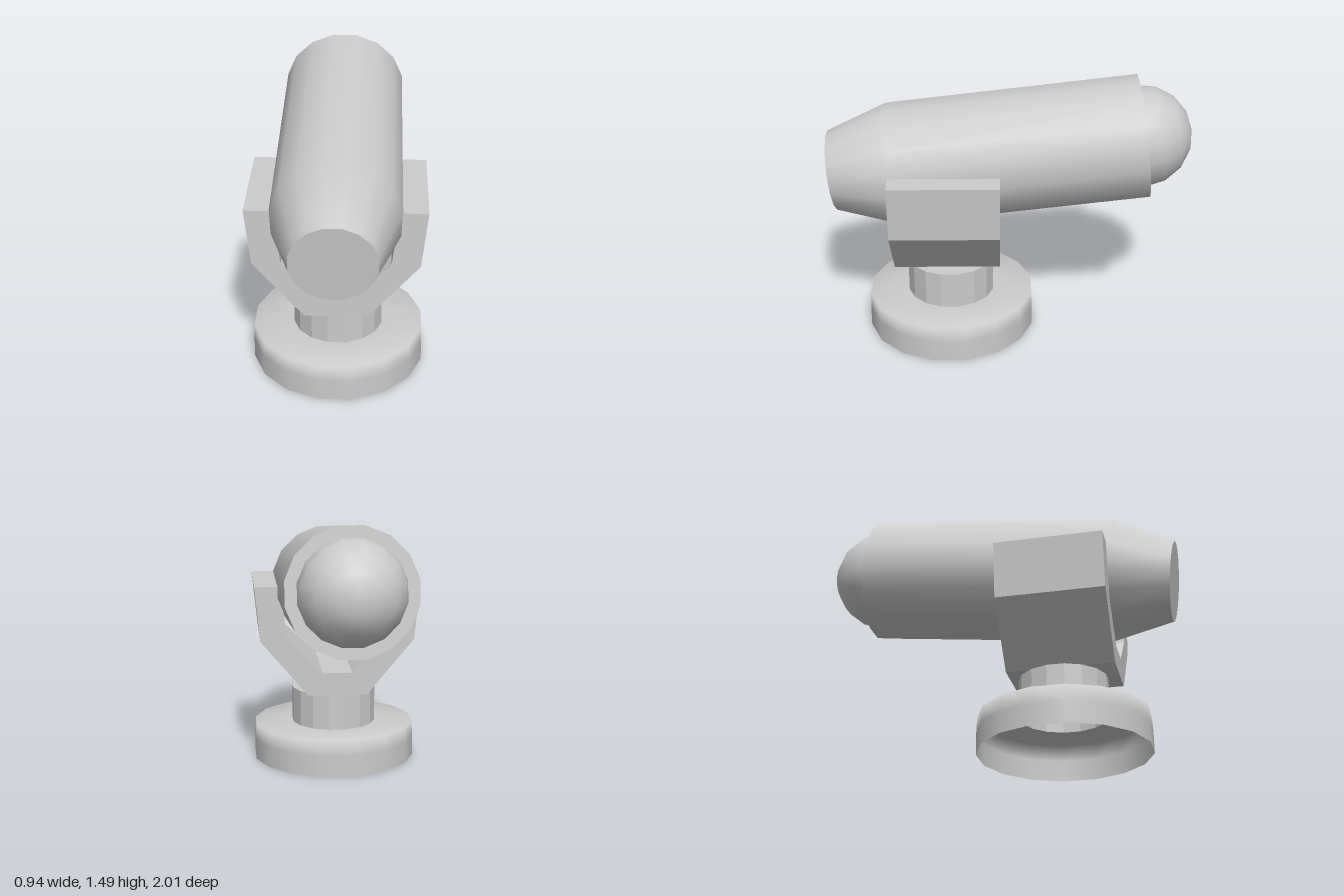
import * as THREE from 'three';

const SIDES = 16;
const HALF = Math.PI / SIDES; // turns a flat facet to the front
const TILT = THREE.MathUtils.degToRad(6.7);
const PIVOT_Z = 0.335;

const grey = new THREE.MeshStandardMaterial({ color: 0xcccccc });
const greyFlat = new THREE.MeshStandardMaterial({ color: 0xcccccc, flatShading: true });
const greyOpen = new THREE.MeshStandardMaterial({ color: 0xcccccc, side: THREE.DoubleSide });
const greyFlatOpen = new THREE.MeshStandardMaterial({ color: 0xcccccc, flatShading: true, side: THREE.DoubleSide });

const toPoints = (pairs) => pairs.map(([x, y]) => new THREE.Vector2(x, y));

function add(parent, name, geometry, material) {
  const mesh = new THREE.Mesh(geometry, material);
  mesh.name = name;
  parent.add(mesh);
  return mesh;
}

function lathe(profile) {
  return new THREE.LatheGeometry(toPoints(profile), SIDES, HALF);
}

// Flat disc facing up or down the lathe axis
function disc(radius, y, facing) {
  return new THREE.CircleGeometry(radius, SIDES, HALF)
    .rotateX(-facing * Math.PI / 2)
    .translate(0, y, 0);
}

export function createModel() {
  const model = new THREE.Group();
  model.name = 'swivelMount';

  // Hollow round foot, open underneath, with a softly shaded rim
  const base = add(model, 'base',
    lathe([[0.477, 0], [0.476, 0.12], [0.472, 0.21], [0.246, 0.21]]), greyOpen);
  base.position.z = PIVOT_Z;

  // Faceted neck, open at the bottom, closed at the top
  const neck = new THREE.Group();
  neck.name = 'neck';
  neck.position.z = PIVOT_Z;
  model.add(neck);
  add(neck, 'neckWall', lathe([[0.247, 0.21], [0.247, 0.42]]), greyFlatOpen);
  add(neck, 'neckTop', disc(0.247, 0.42, 1), greyFlatOpen);

  // Cradle: half outline mirrored, then extruded along z
  const outer = [[0.17, 0.43], [0.44, 0.75], [0.472, 1.065]];
  const inner = [[0.325, 1.065], [0.287, 0.75], [0.085, 0.56]];
  const rightHalf = [...outer, ...inner];
  const leftHalf = rightHalf.map(([x, y]) => [-x, y]).reverse();
  const cradleShape = new THREE.Shape(toPoints([...rightHalf, ...leftHalf]));
  const cradle = add(model, 'cradle',
    new THREE.ExtrudeGeometry(cradleShape, { depth: 0.595, bevelEnabled: false }), greyFlat);
  cradle.position.z = 0.05;

  // Barrel: local y runs from the tapered front end to the back
  const barrel = new THREE.Group();
  barrel.name = 'barrel';
  barrel.position.set(0, 0.96, 0.975);
  barrel.rotation.x = -Math.PI / 2 + TILT;
  barrel.scale.z = 0.985;
  model.add(barrel);

  const length = 1.725;
  add(barrel, 'barrelShell', lathe([[0.228, 0], [0.347, 0.345], [0.347, length]]), grey);
  add(barrel, 'frontFace', disc(0.228, 0, -1), grey);
  add(barrel, 'backFace', disc(0.347, length, 1), grey);

  // Rounded dome at the back
  const dome = add(barrel, 'backDome',
    new THREE.SphereGeometry(0.288, SIDES, 4, HALF, Math.PI * 2, 0, Math.PI / 2), grey);
  dome.position.y = length - 0.02;

  return model;
}
